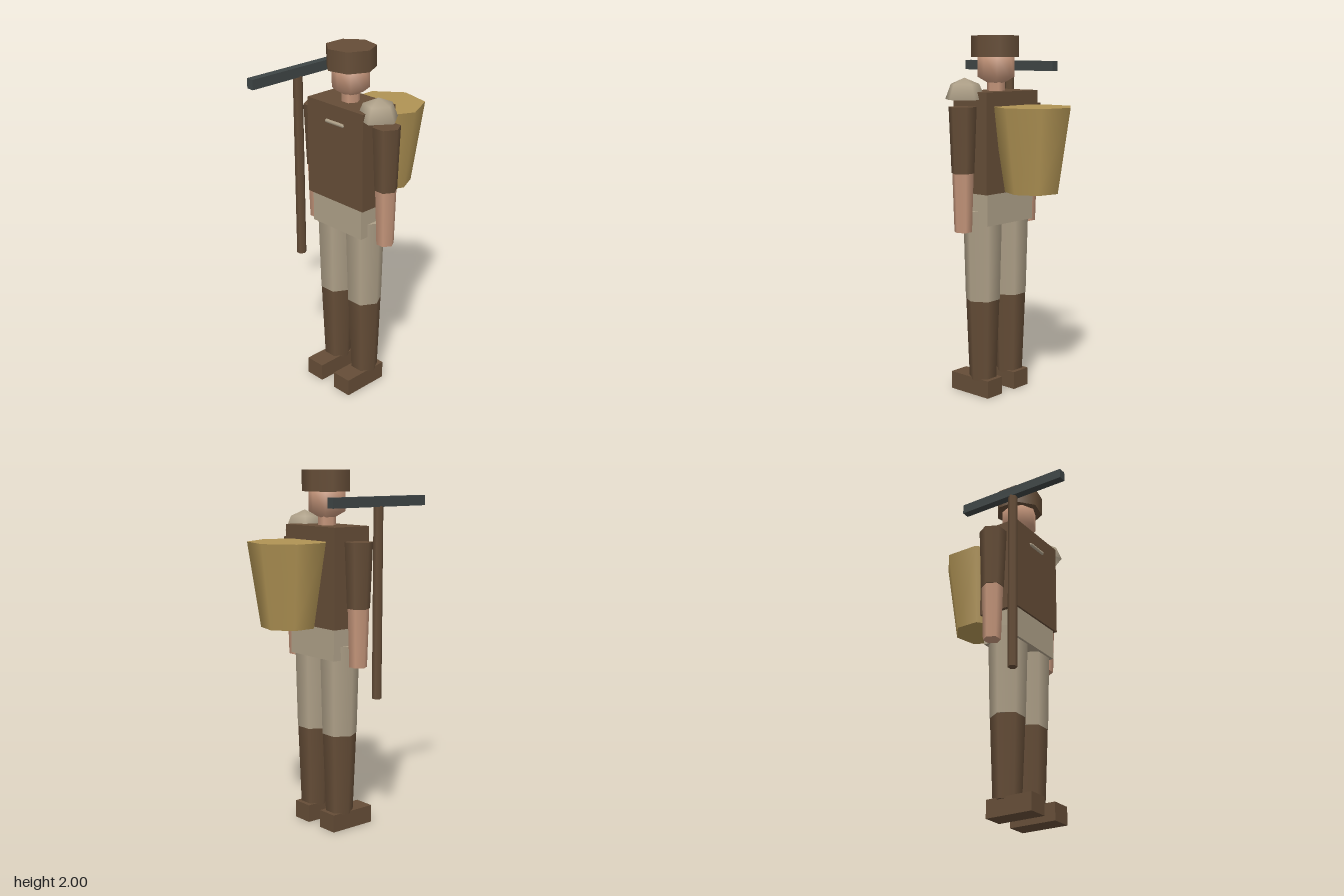
import * as THREE from 'three';

const mat = (name, color, side = THREE.FrontSide) => {
  const m = new THREE.MeshStandardMaterial({ color, side });
  m.name = name;
  return m;
};

export function createModel() {
  const brown = mat('brown leather', 0x654d37);
  const linen = mat('pale linen', 0xaea088, THREE.DoubleSide);
  const skin = mat('skin', 0xc4957a);
  const wicker = mat('wicker', 0xb09354);
  const iron = mat('dark iron', 0x3e4545);

  const model = new THREE.Group();
  model.name = 'worker';

  const add = (name, geometry, material, x, y, z) => {
    const mesh = new THREE.Mesh(geometry, material);
    mesh.name = name;
    mesh.position.set(x, y, z);
    model.add(mesh);
    return mesh;
  };
  // Box given by its limits on each axis
  const box = (name, material, [x0, x1], [y0, y1], [z0, z1]) =>
    add(name, new THREE.BoxGeometry(x1 - x0, y1 - y0, z1 - z0), material,
      (x0 + x1) / 2, (y0 + y1) / 2, (z0 + z1) / 2);
  // Upright tapered prism with one corner pointing to +x
  const taper = (name, material, rTop, rBottom, y0, y1, sides, x, z) =>
    add(name, new THREE.CylinderGeometry(rTop, rBottom, y1 - y0, sides).rotateY(Math.PI / 2),
      material, x, (y0 + y1) / 2, z);

  const cz = 0.007; // depth of the body axis

  // Limbs, mirrored
  for (const [side, s] of [['left', 1], ['right', -1]]) {
    const leg = s * 0.111, arm = s * 0.265;
    box(side + 'Foot', brown, [leg - 0.06, leg + 0.06], [0, 0.1], [-0.085, 0.195]);
    taper(side + 'Boot', brown, 0.095, 0.077, 0.09, 0.55, 6, leg, cz);
    taper(side + 'Thigh', linen, 0.11, 0.097, 0.55, 1.055, 6, leg, cz);
    taper(side + 'Sleeve', brown, 0.077, 0.063, 1.27, 1.625, 6, arm, cz);
    taper(side + 'Forearm', skin, 0.059, 0.049, 0.95, 1.27, 6, arm, cz);
  }

  // Trunk
  box('hips', linen, [-0.187, 0.187], [0.98, 1.157], [-0.1, 0.115]);
  box('jacket', brown, [-0.21, 0.21], [1.155, 1.702], [-0.115, 0.127]);
  add('chestToggle', new THREE.CapsuleGeometry(0.011, 0.12, 2, 6).rotateZ(Math.PI / 2),
    linen, 0, 1.604, 0.127);

  // Head and cap
  taper('neck', skin, 0.05, 0.05, 1.69, 1.79, 6, 0, cz);
  add('head', new THREE.SphereGeometry(0.116, 8, 3), skin, 0, 1.835, cz);
  taper('cap', brown, 0.137, 0.137, 1.885, 2, 7, 0, cz);

  // Open dome over the left shoulder
  add('shoulderPad',
    new THREE.SphereGeometry(0.115, 5, 2, 0, Math.PI * 2, 0, Math.PI / 2).rotateY(Math.PI),
    linen, 0.226, 1.662, 0.03);

  // Basket on the back
  taper('basket', wicker, 0.22, 0.15, 1.165, 1.625, 7, 0, -0.26);

  // Pick beside the right hand
  taper('pickHandle', brown, 0.027, 0.027, 0.755, 1.81, 6, -0.267, 0.143);
  box('pickHead', iron, [-0.289, -0.244], [1.806, 1.861], [-0.191, 0.47]);

  return model;
}
